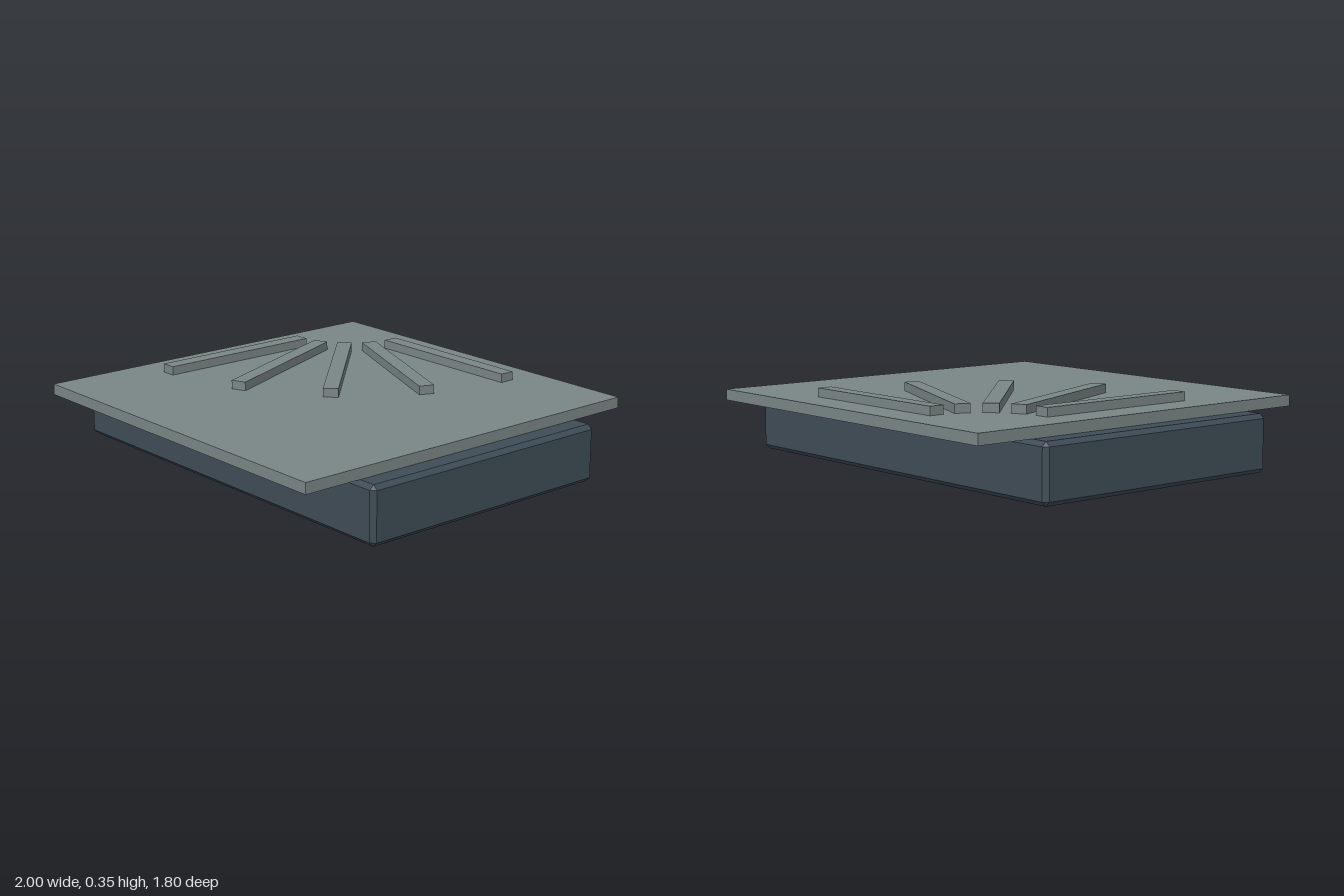
import * as THREE from 'three';
import { ConvexGeometry } from 'three/addons/geometries/ConvexGeometry.js';

// Box with every edge cut at 45 degrees: the hull of three inset boxes
function chamferedBox(w, h, d, c) {
  const points = [];
  for (const sx of [-1, 1]) for (const sy of [-1, 1]) for (const sz of [-1, 1]) {
    const x = w / 2, y = h / 2, z = d / 2;
    points.push(
      new THREE.Vector3(sx * x, sy * (y - c), sz * (z - c)),
      new THREE.Vector3(sx * (x - c), sy * y, sz * (z - c)),
      new THREE.Vector3(sx * (x - c), sy * (y - c), sz * z)
    );
  }
  return new ConvexGeometry(points);
}

export function createModel() {
  const model = new THREE.Group();
  model.name = 'fanTopPanel';
  const slate = new THREE.MeshStandardMaterial({ color: 0x3f4c56 });
  slate.name = 'darkSlate';
  const grey = new THREE.MeshStandardMaterial({ color: 0x7a8686 });
  grey.name = 'stoneGrey';

  function add(name, geometry, material, x, y, z) {
    const mesh = new THREE.Mesh(geometry, material);
    mesh.name = name;
    mesh.position.set(x, y, z);
    model.add(mesh);
    return mesh;
  }

  // Chamfered base block
  add('base', chamferedBox(2, 0.26, 1.28, 0.02), slate, 0, 0.13, 0);

  // Square top plate
  add('topPlate', new THREE.BoxGeometry(1.8, 0.05, 1.8), grey, 0, 0.285, 0);

  // Five raised bars fanning out from the back right corner
  const bar = new THREE.BoxGeometry(0.8, 0.04, 0.07);
  const pivot = -0.705, radius = 0.705;
  for (let i = 0; i < 5; i++) {
    const a = (i * Math.PI) / 8;
    const mesh = add(`fanBar${i + 1}`, bar, grey,
      pivot + radius * Math.cos(a), 0.33, pivot + radius * Math.sin(a));
    mesh.rotation.y = -a;
  }

  return model;
}
